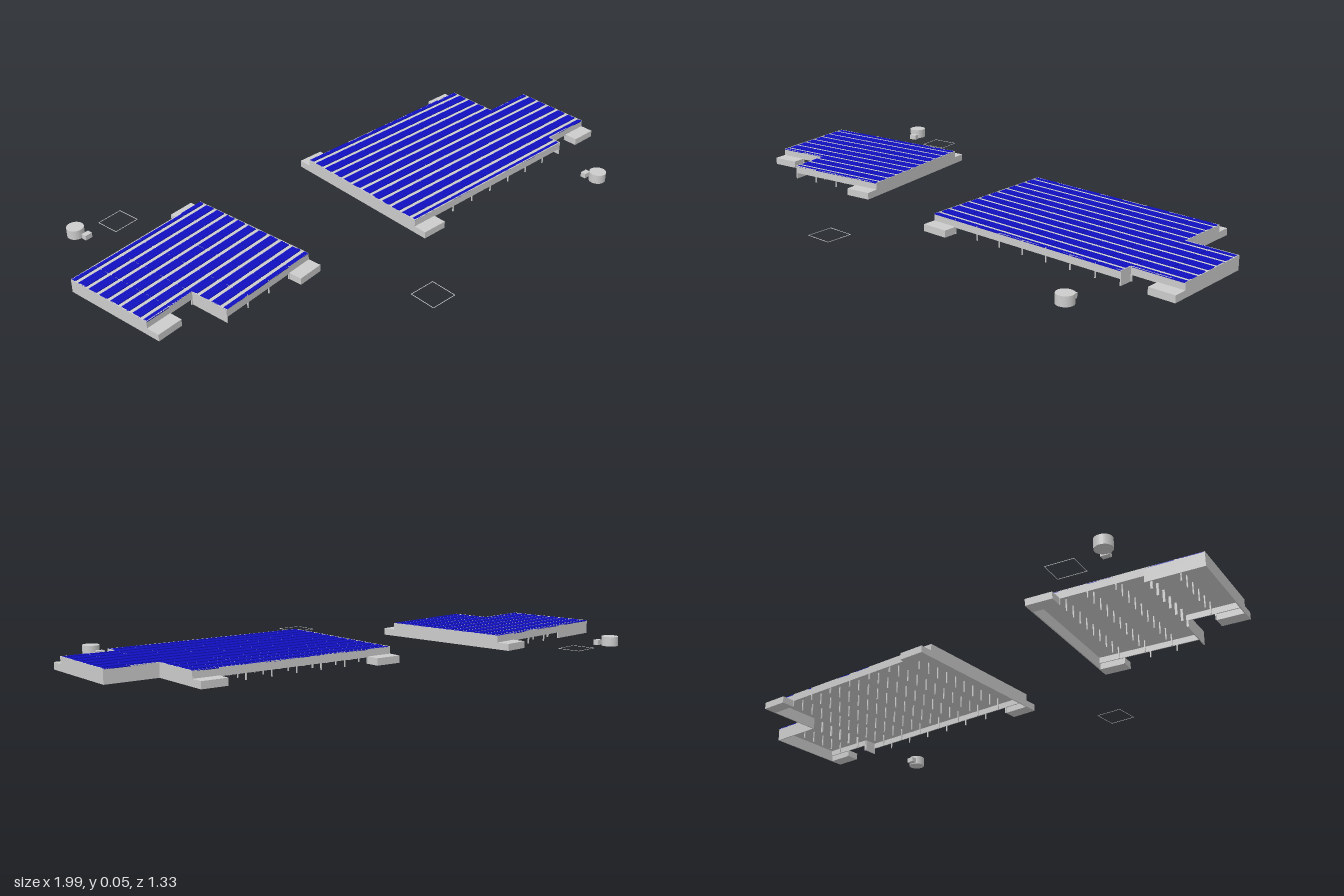
import * as THREE from 'three';
import { mergeGeometries } from 'three/addons/utils/BufferGeometryUtils.js';

const CELL = 0.097, ROW = 0.0495;      // size of one bay across and along
const TOP = 0.05, DECK = 0.047, LOW = 0.022, T = 0.004;

const grey = new THREE.MeshStandardMaterial({ color: 0xcccccc });
const blue = new THREE.MeshStandardMaterial({ color: 0x1010c0 });

// Box geometry given by its minimum and maximum corners
function span(x0, x1, y0, y1, z0, z1) {
  return new THREE.BoxGeometry(x1 - x0, y1 - y0, z1 - z0)
    .translate((x0 + x1) / 2, (y0 + y1) / 2, (z0 + z1) / 2);
}

function addMerged(group, name, geometries, material = grey) {
  const mesh = new THREE.Mesh(mergeGeometries(geometries), material);
  mesh.name = name;
  group.add(mesh);
}

// Solar canopy on posts; all plans are given in bays [column, row]
function canopy(name, { areas, endWalls, sideWalls, bands, annexes }) {
  const g = new THREE.Group();
  g.name = name;
  const decks = [], panels = [], posts = [];
  for (const [c0, c1, r0, r1] of areas) {
    decks.push(span(c0 * CELL, c1 * CELL, DECK - 0.004, DECK, r0 * ROW, r1 * ROW));
    for (let c = c0; c < c1; c++) {
      for (let r = r0; r < r1; r++) {
        // two panel strips per bay with a bare strip between them
        const x0 = c * CELL + 0.0015, x1 = (c + 1) * CELL - 0.0015, z = r * ROW;
        panels.push(span(x0, x1, DECK, TOP, z, z + ROW * 0.34));
        panels.push(span(x0, x1, DECK, TOP, z + ROW * 0.66, z + ROW));
      }
    }
    for (let c = c0; c <= c1; c++) {
      for (let r = r0; r <= r1; r++) {
        const x = THREE.MathUtils.clamp(c * CELL, c0 * CELL + T / 2, c1 * CELL - T / 2);
        const z = THREE.MathUtils.clamp(r * ROW, r0 * ROW + T / 2, r1 * ROW - T / 2);
        posts.push(span(x - T / 2, x + T / 2, 0, DECK - 0.004, z - T / 2, z + T / 2));
      }
    }
  }
  addMerged(g, 'roofDeck', decks);
  addMerged(g, 'solarPanels', panels, blue);
  addMerged(g, 'posts', posts);

  // inward is +1 or -1: the side of the line on which the wall stands
  const along = (c0, c1, r, inward, y0) => {
    const z = r * ROW, zi = z + inward * T;
    return span(c0 * CELL, c1 * CELL, y0, TOP, Math.min(z, zi), Math.max(z, zi));
  };
  addMerged(g, 'endWalls', endWalls.map(([c, r0, r1, inward]) => {
    const x = c * CELL, xi = x + inward * T;
    return span(Math.min(x, xi), Math.max(x, xi), 0, TOP, r0 * ROW, r1 * ROW);
  }));
  addMerged(g, 'sideWalls', sideWalls.map((w) => along(...w, 0)));
  addMerged(g, 'upperBands', bands.map((w) => along(...w, LOW)));
  addMerged(g, 'entranceBlocks', annexes.map(([c, r]) =>
    span(c * CELL, (c + 1) * CELL, 0, LOW + 0.003, r * ROW, (r + 1) * ROW)));
  return g;
}

// Round tank with a small service box beside it
function tank(name, x, z, bx, bz, angle) {
  const g = new THREE.Group();
  g.name = name;
  const drum = new THREE.Mesh(new THREE.CylinderGeometry(0.03, 0.03, 0.034, 32), grey);
  drum.name = 'drum';
  drum.position.set(x, 0.017, z);
  const box = new THREE.Mesh(new THREE.BoxGeometry(0.028, 0.018, 0.02), grey);
  box.name = 'serviceBox';
  box.position.set(bx, 0.009, bz);
  box.rotation.y = angle;
  g.add(drum, box);
  return g;
}

// Thin square outline lying on the ground
function outline(name, x, z, w, d, angle) {
  const g = new THREE.Group();
  g.name = name;
  const a = w / 2, b = d / 2, t = 0.002, h = 0.001;
  addMerged(g, 'groundFrame', [
    span(-a, a, 0, h, -b, -b + t), span(-a, a, 0, h, b - t, b),
    span(-a, -a + t, 0, h, -b, b), span(a - t, a, 0, h, -b, b),
  ]);
  g.position.set(x, 0, z);
  g.rotation.y = angle;
  return g;
}

export function createModel() {
  const model = new THREE.Group();
  model.name = 'solarCanopySite';
  const bigAngle = 0.543, smallAngle = 0.689;

  const big = canopy('largeCanopy', {
    areas: [[0, 8, 0, 11], [8, 10, 4, 10]],
    endWalls: [[0, 0, 11, 1], [8, 0, 4, -1], [8, 10, 11, -1], [10, 4, 10, -1]],
    sideWalls: [[8, 10, 4, 1]],
    bands: [[0, 8, 0, 1], [0, 8, 11, -1], [8, 10, 10, -1]],
    annexes: [[0, -1], [7, -1], [0, 11], [9, 10]],
  });
  big.position.set(-0.117, 0, -0.226);
  big.rotation.y = bigAngle;

  const small = canopy('smallCanopy', {
    areas: [[0, 2, 0, 7], [2, 6, 0, 10]],
    endWalls: [[0, 0, 7, 1], [2, 7, 10, 1], [6, 0, 10, -1]],
    sideWalls: [[0, 2, 0, 1]],
    bands: [[2, 6, 0, 1], [0, 2, 7, -1], [2, 6, 10, -1]],
    annexes: [[5, -1], [0, 7], [5, 10]],
  });
  small.position.set(-0.987, 0, 0.344);
  small.rotation.y = smallAngle;

  model.add(
    big, small,
    tank('rightTank', -0.97, 0.019, -0.933, 0.044, smallAngle),
    tank('leftTank', 0.901, 0.043, 0.868, 0.011, bigAngle),
    outline('rightGroundOutline', -0.826, -0.037, 0.1, 0.09, smallAngle),
    outline('leftGroundOutline', 0.136, 0.593, 0.1, 0.1, bigAngle),
  );
  return model;
}
